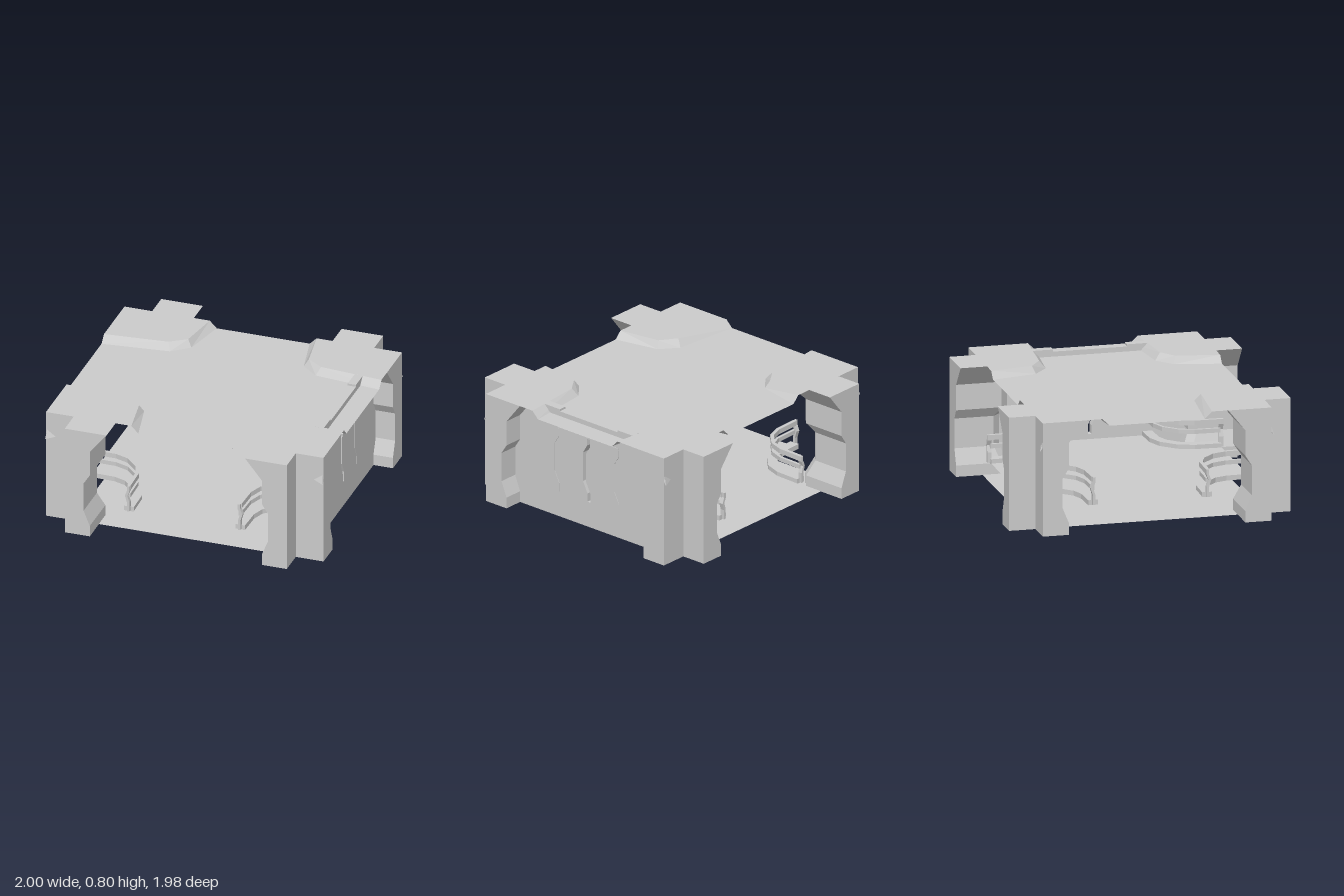
import * as THREE from 'three';

const mat = new THREE.MeshStandardMaterial({ color: 0xcccccc, side: THREE.DoubleSide, flatShading: true });

function add(parent, name, geometry) {
  const mesh = new THREE.Mesh(geometry, mat);
  mesh.name = name;
  parent.add(mesh);
  return mesh;
}

const toShape = (pts) => new THREE.Shape(pts.map(([a, b]) => new THREE.Vector2(a, b)));
const extrude = (shape, depth) => new THREE.ExtrudeGeometry(shape, { depth, bevelEnabled: false });

// Flat plate from [x, z] points at height y
function plate(pts, y) {
  return new THREE.ShapeGeometry(toShape(pts.map(([x, z]) => [x, -z]))).rotateX(-Math.PI / 2).translate(0, y, 0);
}

// Outline of a band of constant width that follows a polyline
function band(path, width) {
  const left = [], right = [];
  path.forEach(([a, b], i) => {
    const p = path[Math.max(i - 1, 0)], q = path[Math.min(i + 1, path.length - 1)];
    const l = Math.hypot(q[0] - p[0], q[1] - p[1]);
    const nx = (-(q[1] - p[1]) / l) * width / 2, ny = ((q[0] - p[0]) / l) * width / 2;
    left.push([a + nx, b + ny]);
    right.unshift([a - nx, b - ny]);
  });
  return left.concat(right);
}

// Loft through closed rings of points, with optional end caps
function loft(rings, closed, caps) {
  const n = rings[0].length, pos = rings.flat(2), idx = [];
  for (let r = 0; r < rings.length - 1; r++)
    for (let i = 0; i < (closed ? n : n - 1); i++) {
      const a = r * n + i, b = r * n + (i + 1) % n;
      idx.push(a, a + n, b, b, a + n, b + n);
    }
  if (caps) {
    const tris = THREE.ShapeUtils.triangulateShape(rings[0].map((p) => new THREE.Vector2(p[0], p[2])), []);
    const top = (rings.length - 1) * n;
    tris.forEach(([a, b, c]) => idx.push(a, b, c, top + a, top + c, top + b));
  }
  const g = new THREE.BufferGeometry();
  g.setAttribute('position', new THREE.Float32BufferAttribute(pos, 3));
  g.setIndex(idx);
  const flat = g.toNonIndexed();
  flat.computeVertexNormals();
  return flat;
}

// Inner outline of a corner, on the low roof and on the raised plate
const lowEdge = [[0.335, 0.805], [0.405, 0.485], [0.525, 0.385], [1, 0.335]];
const highEdge = [[0.385, 0.805], [0.435, 0.505], [0.55, 0.425], [1, 0.385]];
const railPath = [[0.4, 0.81], [0.405, 0.63], [0.44, 0.53], [0.53, 0.44], [0.63, 0.405], [0.81, 0.4]];

// Repeat a quarter outline around all four quadrants
function fourWay(q) {
  const rev = [...q].reverse();
  return [...q, ...rev.map(([x, z]) => [x, -z]), ...q.map(([x, z]) => [-x, -z]), ...rev.map(([x, z]) => [-x, z])];
}

function makeCorner(sx, sz) {
  const corner = new THREE.Group();
  corner.name = 'corner';

  // Pillar: stepped plan whose inner side swells and flares with height
  const profile = [[0, 0.62], [0.08, 0.62], [0.19, 0.665], [0.4, 0.665], [0.47, 0.62], [0.65, 0.62], [0.799, 0.5]];
  const rings = profile.map(([y, t]) => [
    [t, y, 0.99], [0.8, y, 0.99], [0.8, y, 0.805], [1, y, 0.805],
    [1, y, t], [t + 0.05, y, t], [t, y, t + 0.05],
  ]);
  add(corner, 'pillar', loft(rings, true, true));

  // Raised roof corner and its bevel
  add(corner, 'cornerRoof', plate([...highEdge, [1, 0.805], [0.8, 0.805], [0.8, 0.99], [0.5, 0.99], [0.5, 0.805]], 0.8));
  add(corner, 'cornerBevel', loft([lowEdge.map(([x, z]) => [x, 0.75, z]), highEdge.map(([x, z]) => [x, 0.8, z])], false, false));

  // Small folded flap on the outer edge
  const flap = [[1, 0.8, 0.67], [1, 0.6, 0.825], [0.93, 0.62, 0.805]];
  add(corner, 'flap', loft([flap, flap.map(() => [0.99, 0.68, 0.8])], true, false));

  // Curved railing: kerb and two bars
  [['kerb', 0.145, 0.035, 0.07], ['lowerRail', 0.25, 0.03, 0.02], ['upperRail', 0.31, 0.035, 0.025]].forEach(([name, y, h, w]) => {
    const g = extrude(toShape(band(railPath.map(([x, z]) => [x, -z]), w)), h);
    add(corner, name, g.rotateX(-Math.PI / 2).translate(0, y, 0));
  });

  // Kinked end posts
  const post = band([[0.4, 0.15], [0.4, 0.22], [0.415, 0.27], [0.398, 0.31], [0.398, 0.345]], 0.018);
  add(corner, 'railPost', extrude(toShape(post), 0.03).translate(0, 0, 0.8));
  const side = extrude(toShape(post.map(([a, b]) => [-a, b])), 0.03);
  add(corner, 'railPost', side.rotateY(Math.PI / 2).translate(0.8, 0, 0));

  corner.scale.set(sx, 1, sz);
  return corner;
}

function makeWall() {
  const wall = new THREE.Group();
  wall.name = 'doorWall';
  // Drawn as [-z, y], then turned to face +x
  const place = (g, x) => g.rotateY(Math.PI / 2).translate(x, 0, 0);
  const seam = [[0, 0.655], [0, 0.6], [-0.037, 0.54], [-0.037, 0.33], [0.003, 0.25], [0.003, 0.185]];

  const shape = toShape([[-0.66, 0], [0.66, 0], [0.66, 0.75], [0.4, 0.75], [0.4, 0.8], [0.26, 0.8], [0.26, 0.785],
    [-0.26, 0.785], [-0.26, 0.8], [-0.4, 0.8], [-0.4, 0.75], [-0.66, 0.75]]);
  shape.holes.push(new THREE.Path(band(seam, 0.026).map(([a, b]) => new THREE.Vector2(a, b))));
  add(wall, 'wallPanel', place(extrude(shape, 0.06), 0.8));

  // Door edge strips and lintel line
  [-0.27, 0.27].forEach((o) => {
    const edge = band(seam.map(([a, b]) => [a + o, b]), 0.008);
    add(wall, 'doorEdge', place(extrude(toShape(edge), 0.006), 0.858));
  });
  add(wall, 'lintel', new THREE.BoxGeometry(0.006, 0.01, 0.54).translate(0.861, 0.66, 0));
  return wall;
}

export function createModel() {
  const model = new THREE.Group();
  model.name = 'roomModule';

  // Ground plate, raised floor and main roof
  add(model, 'basePlate', plate([[-0.8, -0.805], [0.86, -0.805], [0.86, 0.805], [-0.8, 0.805]], 0.002));
  add(model, 'raisedFloor', plate(fourWay(railPath), 0.15));
  add(model, 'mainRoof', plate(fourWay(lowEdge), 0.75));

  for (const sx of [1, -1]) for (const sz of [1, -1]) model.add(makeCorner(sx, sz));
  model.add(makeWall());
  return model;
}
